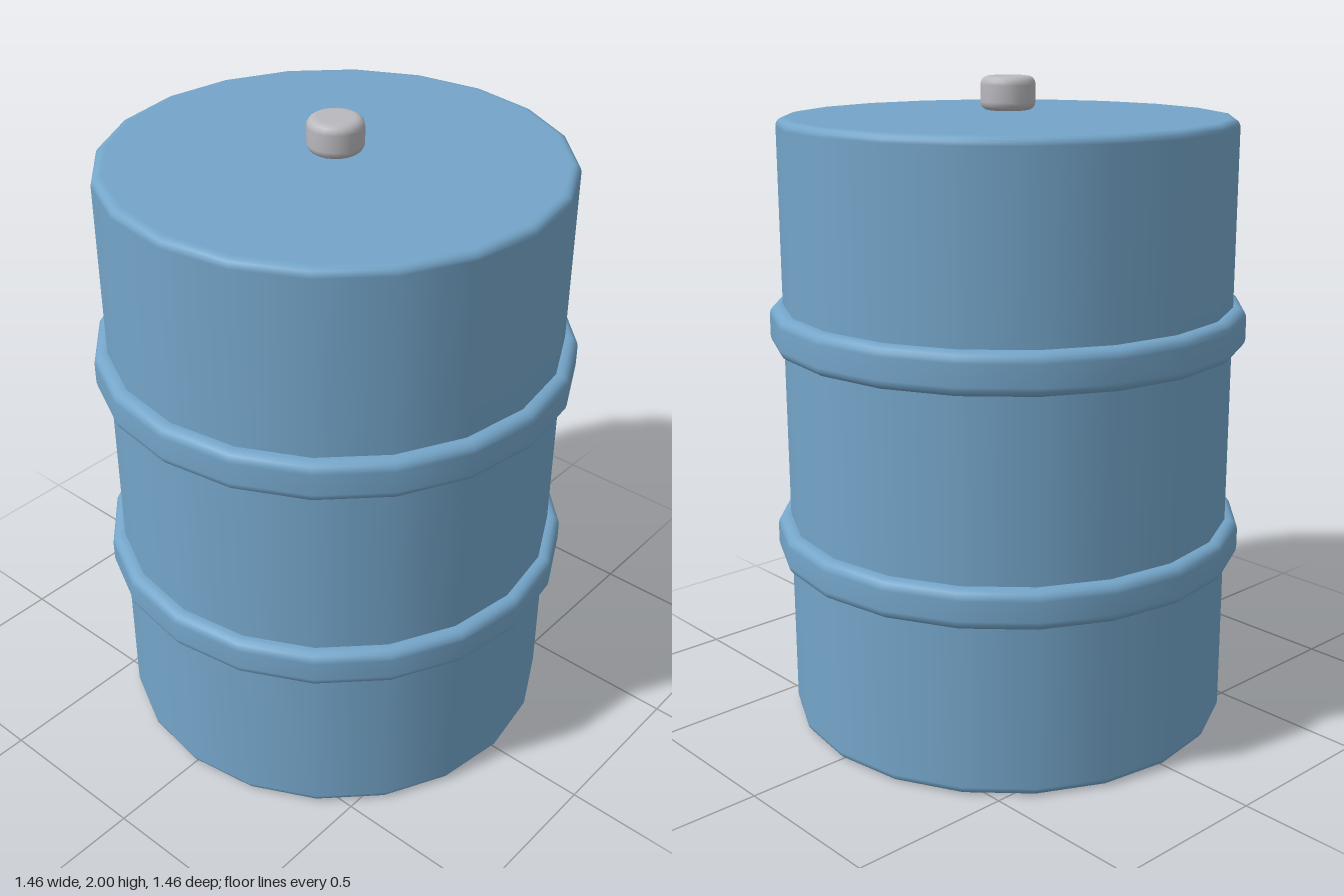
import * as THREE from 'three';

const SIDES = 20;

// Solid of revolution from y0 to y1 with softly rounded outer edges
function roundedDisc(name, inner, radius, y0, y1, bevel, material) {
  const points = [new THREE.Vector2(inner, y0), new THREE.Vector2(radius - bevel * 1.3, y0)];
  const steps = 4;
  for (const top of [false, true]) {
    for (let i = 0; i <= steps; i++) {
      const a = (i / steps) * Math.PI / 2 + (top ? 0 : -Math.PI / 2);
      const cy = top ? y1 - bevel : y0 + bevel;
      points.push(new THREE.Vector2(radius - bevel + Math.cos(a) * bevel, cy + Math.sin(a) * bevel));
    }
  }
  points.push(new THREE.Vector2(radius - bevel * 1.3, y1), new THREE.Vector2(inner, y1));
  const mesh = new THREE.Mesh(new THREE.LatheGeometry(points, SIDES), material);
  mesh.name = name;
  return mesh;
}

export function createModel() {
  const bluePaint = new THREE.MeshStandardMaterial({ color: 0x74a5c9 });
  bluePaint.name = 'bluePaint';
  const greyMetal = new THREE.MeshStandardMaterial({ color: 0xb8b8bd });
  greyMetal.name = 'greyMetal';

  const barrel = new THREE.Group();
  barrel.name = 'barrel';

  // Drum body
  barrel.add(roundedDisc('body', 0, 0.69, 0, 1.885, 0.025, bluePaint));

  // Raised hoops around the body
  barrel.add(roundedDisc('lowerHoop', 0.64, 0.73, 0.53, 0.65, 0.03, bluePaint));
  barrel.add(roundedDisc('upperHoop', 0.64, 0.73, 1.2, 1.325, 0.03, bluePaint));

  // Small plug just above the lid
  barrel.add(roundedDisc('plug', 0, 0.083, 1.9, 2, 0.025, greyMetal));

  return barrel;
}
